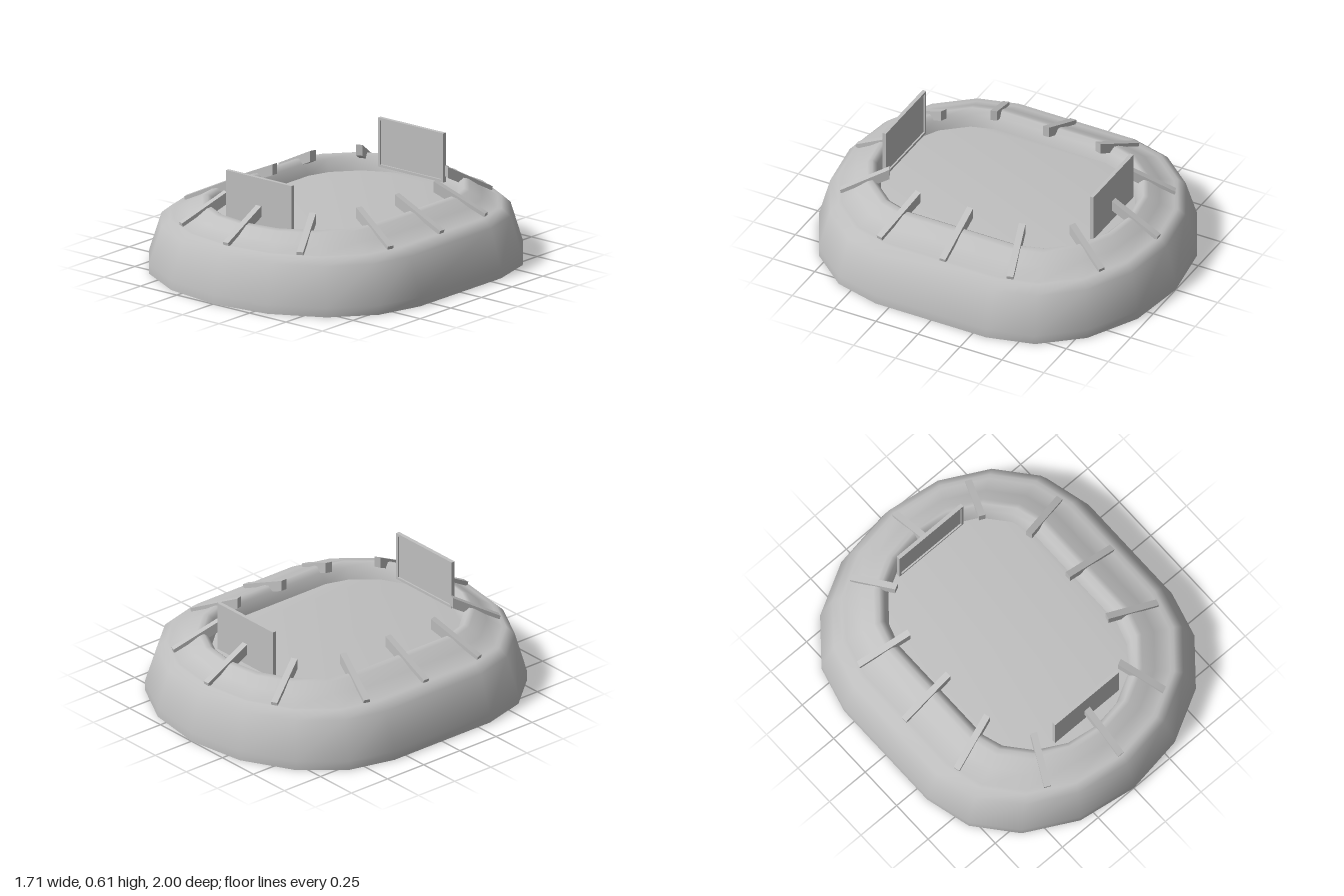
import * as THREE from 'three';
import { toCreasedNormals } from 'three/addons/utils/BufferGeometryUtils.js';

const concrete = new THREE.MeshStandardMaterial({ color: 0xc0c0c0, side: THREE.DoubleSide });
concrete.name = 'grey concrete';

// One quarter of the plan, from the front centre round to the side
const outerQuarter = [[0, 1], [0.33, 0.95], [0.61, 0.8], [0.79, 0.585], [0.857, 0.33]];
const innerQuarter = [[0, 0.69], [0.17, 0.665], [0.32, 0.585], [0.43, 0.455], [0.47, 0.33]];

// Mirror a quarter into a full loop
function fullLoop(q) {
  const half = [...q, ...q.slice().reverse().map(([x, z]) => [x, -z])];
  return [...half, ...half.slice(1, -1).reverse().map(([x, z]) => [-x, z])];
}

// Shell lofted between the outer and inner plan: rows of [blend, height]
function shell(rows) {
  const outer = fullLoop(outerQuarter), inner = fullLoop(innerQuarter);
  const n = outer.length, pos = [], index = [];
  for (const [t, y] of rows) {
    outer.forEach(([x, z], j) => pos.push(x + (inner[j][0] - x) * t, y, z + (inner[j][1] - z) * t));
  }
  for (let i = 0; i < rows.length - 1; i++) {
    for (let j = 0; j < n; j++) {
      const a = i * n + j, b = i * n + (j + 1) % n;
      index.push(a, b, b + n, a, b + n, a + n);
    }
  }
  const g = new THREE.BufferGeometry();
  g.setAttribute('position', new THREE.Float32BufferAttribute(pos, 3));
  g.setIndex(index);
  return toCreasedNormals(g, 1.1);
}

function mesh(geometry, name, parent) {
  const m = new THREE.Mesh(geometry, concrete);
  m.name = name;
  parent.add(m);
  return m;
}

// Sloping roof beam, from an outer point to an inner point in plan
function addBeam(parent, [ox, oz], [ix, iz]) {
  const len = Math.hypot(ox - ix, oz - iz), w = 0.036;
  const side = new THREE.Shape([
    [0, 0.455], [0, 0.395], [len * 0.97, 0.265], [len, 0.315],
  ].map(([x, y]) => new THREE.Vector2(x, y)));
  const g = new THREE.ExtrudeGeometry(side, { depth: w, bevelEnabled: false });
  g.translate(0, 0, -w / 2);
  const m = mesh(g, 'roofBeam', parent);
  m.position.set(ix, 0, iz);
  m.rotation.y = -Math.atan2(oz - iz, ox - ix);
}

// Screen with a raised frame on the side facing the pitch
function makeScreen() {
  const s = new THREE.Group();
  s.name = 'screen';
  const w = 0.448, h = 0.27, bar = 0.014;
  mesh(new THREE.BoxGeometry(w, h, 0.012), 'screenPanel', s);
  for (const k of [-1, 1]) {
    mesh(new THREE.BoxGeometry(w, bar, 0.01), 'screenFrame', s).position.set(0, k * (h - bar) / 2, 0.01);
    mesh(new THREE.BoxGeometry(bar, h - 2 * bar, 0.01), 'screenFrame', s).position.set(k * (w - bar) / 2, 0, 0.01);
  }
  return s;
}

// Pitch slab with clipped corners and a bevelled edge
function makePitch() {
  const corner = [[0.35, 0.72], [0.43, 0.675], [0.47, 0.59]];
  const back = corner.slice().reverse();
  const plan = new THREE.Shape([
    ...corner, ...back.map(([x, z]) => [x, -z]),
    ...corner.map(([x, z]) => [-x, -z]), ...back.map(([x, z]) => [-x, z]),
  ].map(([x, z]) => new THREE.Vector2(x, z)));
  const g = new THREE.ExtrudeGeometry(plan, {
    depth: 0.01, bevelThickness: 0.012, bevelSize: 0.02, bevelSegments: 2,
  });
  g.rotateX(-Math.PI / 2);
  return toCreasedNormals(g, 0.9);
}

export function createModel() {
  const model = new THREE.Group();
  model.name = 'stadium';

  // Outer wall with a low rim, roof slope and inner lip as one open shell
  mesh(shell([
    [0, 0], [0, 0.05], [0.18, 0.26], [0.31, 0.3], [0.37, 0.297],
    [0.6, 0.337], [0.78, 0.378], [0.86, 0.386], [0.94, 0.365], [1, 0.295],
  ]), 'wallAndRoof', model);

  mesh(makePitch(), 'pitch', model).position.y = 0.278;

  // Roof beams, mirrored around both axes
  for (const s of [-1, 1]) {
    addBeam(model, [0, 0.9 * s], [0, 0.63 * s]);
    addBeam(model, [0.73 * s, 0], [0.42 * s, 0]);
    for (const t of [-1, 1]) {
      addBeam(model, [0.705 * s, 0.39 * t], [0.42 * s, 0.31 * t]);
      addBeam(model, [0.41 * s, 0.78 * t], [0.3 * s, 0.545 * t]);
    }
    // Screens at both ends, facing inward
    const screen = makeScreen();
    screen.position.set(0, 0.47, 0.623 * s);
    screen.rotation.y = s > 0 ? Math.PI : 0;
    model.add(screen);
  }
  return model;
}
